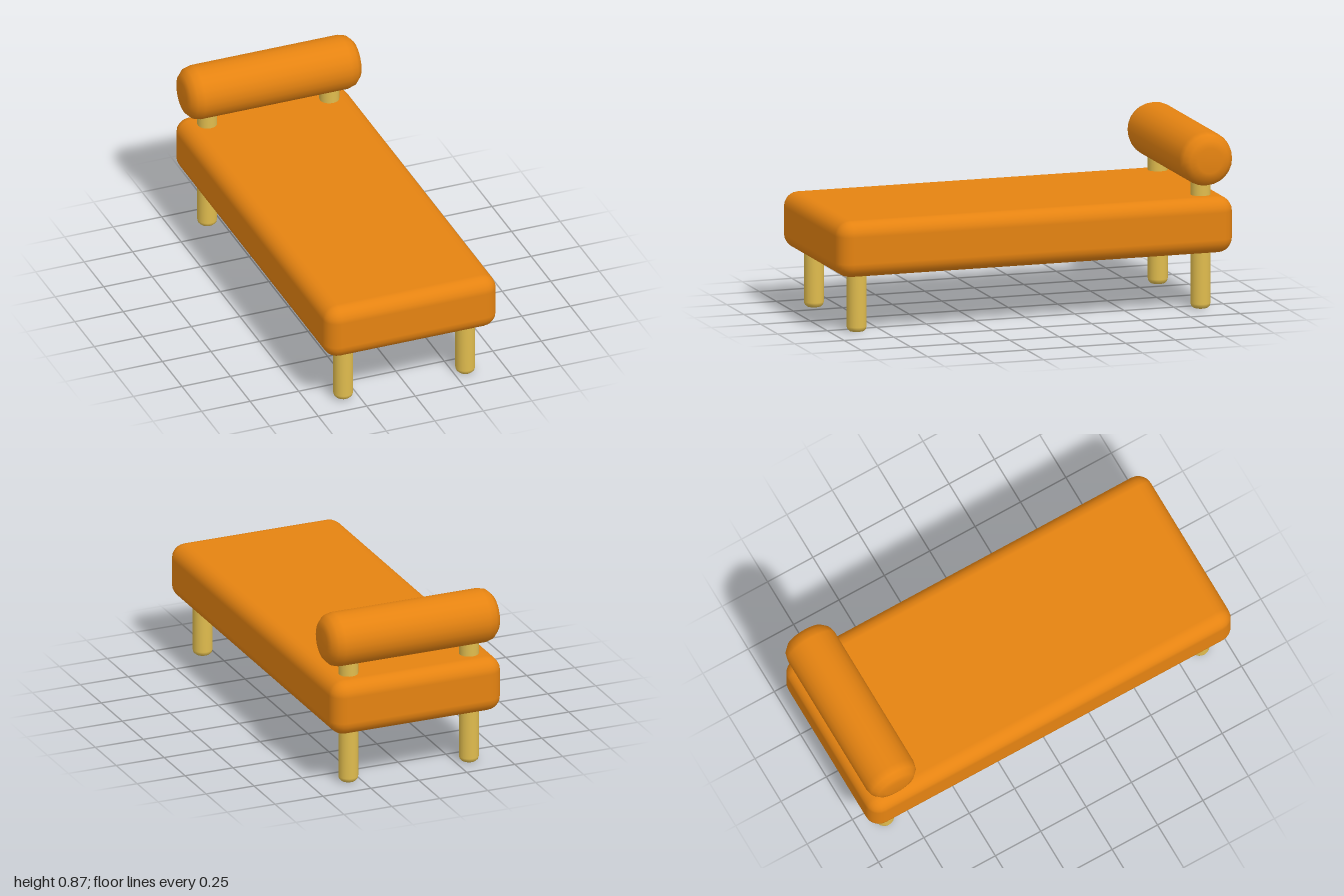
import * as THREE from 'three';
import { RoundedBoxGeometry } from 'three/addons/geometries/RoundedBoxGeometry.js';

// Upright cylinder with rounded rims, centred on its own middle
function roundedCylinder(radius, length, bevel, sides) {
  const h = length / 2;
  const points = [new THREE.Vector2(0, -h)];
  for (const end of [-1, 1]) {
    for (let i = 0; i <= 3; i++) {
      const a = ((end < 0 ? i : 3 - i) / 3) * Math.PI / 2;
      points.push(new THREE.Vector2(
        radius - bevel + bevel * Math.sin(a),
        end * (h - bevel + bevel * Math.cos(a))
      ));
    }
  }
  points.push(new THREE.Vector2(0, h));
  return new THREE.LatheGeometry(points, sides);
}

export function createModel() {
  const group = new THREE.Group();
  const fabric = new THREE.MeshStandardMaterial({ color: 0xe58311 });
  fabric.name = 'orange fabric';
  const wood = new THREE.MeshStandardMaterial({ color: 0xe0bc4e });
  wood.name = 'pale wood';

  const add = (name, geometry, material, x, y, z) => {
    const mesh = new THREE.Mesh(geometry, material);
    mesh.name = name;
    mesh.position.set(x, y, z);
    group.add(mesh);
    return mesh;
  };

  // Long cushion
  add('seat', new RoundedBoxGeometry(0.886, 0.275, 2, 3, 0.072), fabric, -0.005, 0.417, 0);

  // Round headrest lying across the back end
  const bolster = add('bolster', roundedCylinder(0.132, 0.895, 0.07, 24), fabric, -0.001, 0.741, -0.867);
  bolster.rotation.z = Math.PI / 2;

  // Short front legs, and back posts that pass through the seat to the bolster
  for (const [side, x] of [['right', -0.32], ['left', 0.309]]) {
    add(side + 'FrontLeg', roundedCylinder(0.048, 0.4, 0.026, 20), wood, x, 0.2, 0.872);
    add(side + 'BackPost', roundedCylinder(0.048, 0.7, 0.026, 20), wood, x, 0.35, -0.865);
  }
  return group;
}
